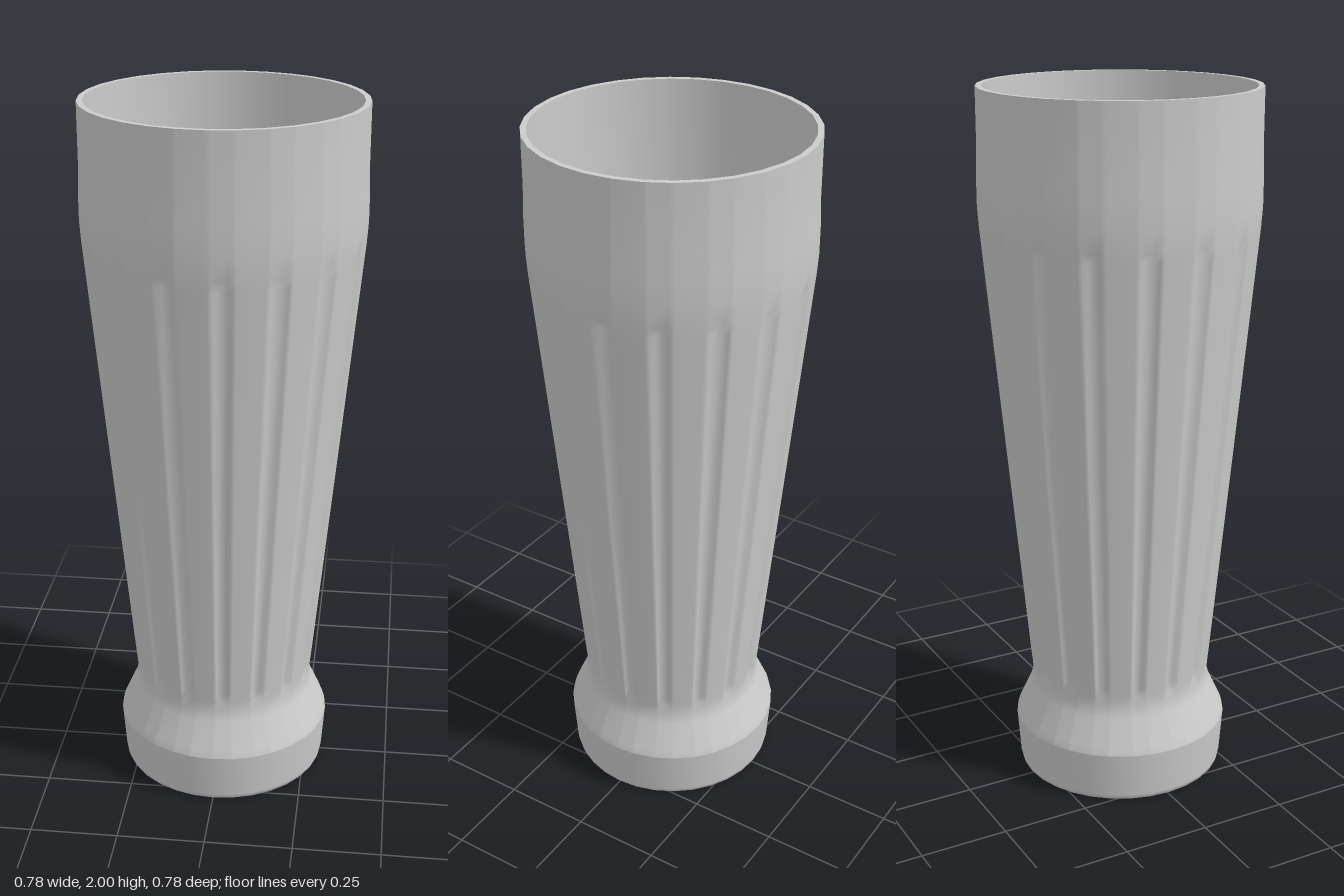
import * as THREE from 'three';

const SIDES = 32;
const material = new THREE.MeshStandardMaterial({ color: 0xcccccc });

// Turned surface; profile points are [radius, height]
function turned(name, points) {
  const profile = points.map(([r, y]) => new THREE.Vector2(r, y));
  const mesh = new THREE.Mesh(new THREE.LatheGeometry(profile, SIDES), material);
  mesh.name = name;
  return mesh;
}

// Outer wall: rings of [radius, height, groove depth], a groove in every other side
function flutedWall(rings) {
  const step = (2 * Math.PI) / SIDES;
  const columns = [];
  for (let k = 0; k < SIDES; k += 2) {
    // position within the grooved side, and whether the column lies in the groove
    for (const [t, inGroove] of [[0, 0], [0.16, 0], [0.32, 1], [0.68, 1], [0.84, 0], [1, 0]]) {
      const flat = Math.cos(step / 2) / Math.cos((t - 0.5) * step);
      columns.push({ angle: (k + t) * step, flat, inGroove });
    }
  }
  const positions = [];
  const index = [];
  const n = columns.length;
  rings.forEach(([radius, y, depth], i) => {
    columns.forEach(({ angle, flat, inGroove }, j) => {
      const r = radius * flat - depth * inGroove;
      positions.push(r * Math.sin(angle), y, r * Math.cos(angle));
      if (i === rings.length - 1) return;
      const a = i * n + j;
      const b = i * n + ((j + 1) % n);
      index.push(a, b, b + n, a, b + n, a + n);
    });
  });
  const geometry = new THREE.BufferGeometry();
  geometry.setAttribute('position', new THREE.Float32BufferAttribute(positions, 3));
  geometry.setIndex(index);
  geometry.computeVertexNormals();
  const mesh = new THREE.Mesh(geometry, material);
  mesh.name = 'flutedWall';
  return mesh;
}

export function createModel() {
  const glass = new THREE.Group();
  glass.name = 'tallGlass';

  // Foot with a slightly rounded lower edge
  glass.add(turned('footUnderside', [[0, 0], [0.288, 0]]));
  glass.add(turned('foot', [[0.288, 0], [0.297, 0.005], [0.301, 0.018], [0.311, 0.15]]));

  // Shoulder, neck, grooved taper and plain upper band
  glass.add(flutedWall([
    [0.311, 0.15, 0],
    [0.305, 0.17, 0],
    [0.268, 0.25, 0],
    [0.26, 0.28, 0],
    [0.261, 0.31, 0],
    [0.264, 0.335, 0.01],
    [0.323, 0.96, 0.01],
    [0.382, 1.59, 0.01],
    [0.385, 1.62, 0],
    [0.389, 1.68, 0],
    [0.389, 1.76, 0],
    [0.386, 1.84, 0],
    [0.386, 2, 0],
  ]));

  // Rim, inner wall and dished floor
  glass.add(turned('rim', [[0.386, 2], [0.37, 2]]));
  glass.add(turned('innerWall', [[0.37, 2], [0.37, 1.72], [0.365, 1.6], [0.242, 0.3]]));
  glass.add(turned('innerFloor', [[0.242, 0.3], [0.2, 0.277], [0.14, 0.256], [0.07, 0.244], [0, 0.24]]));

  return glass;
}
